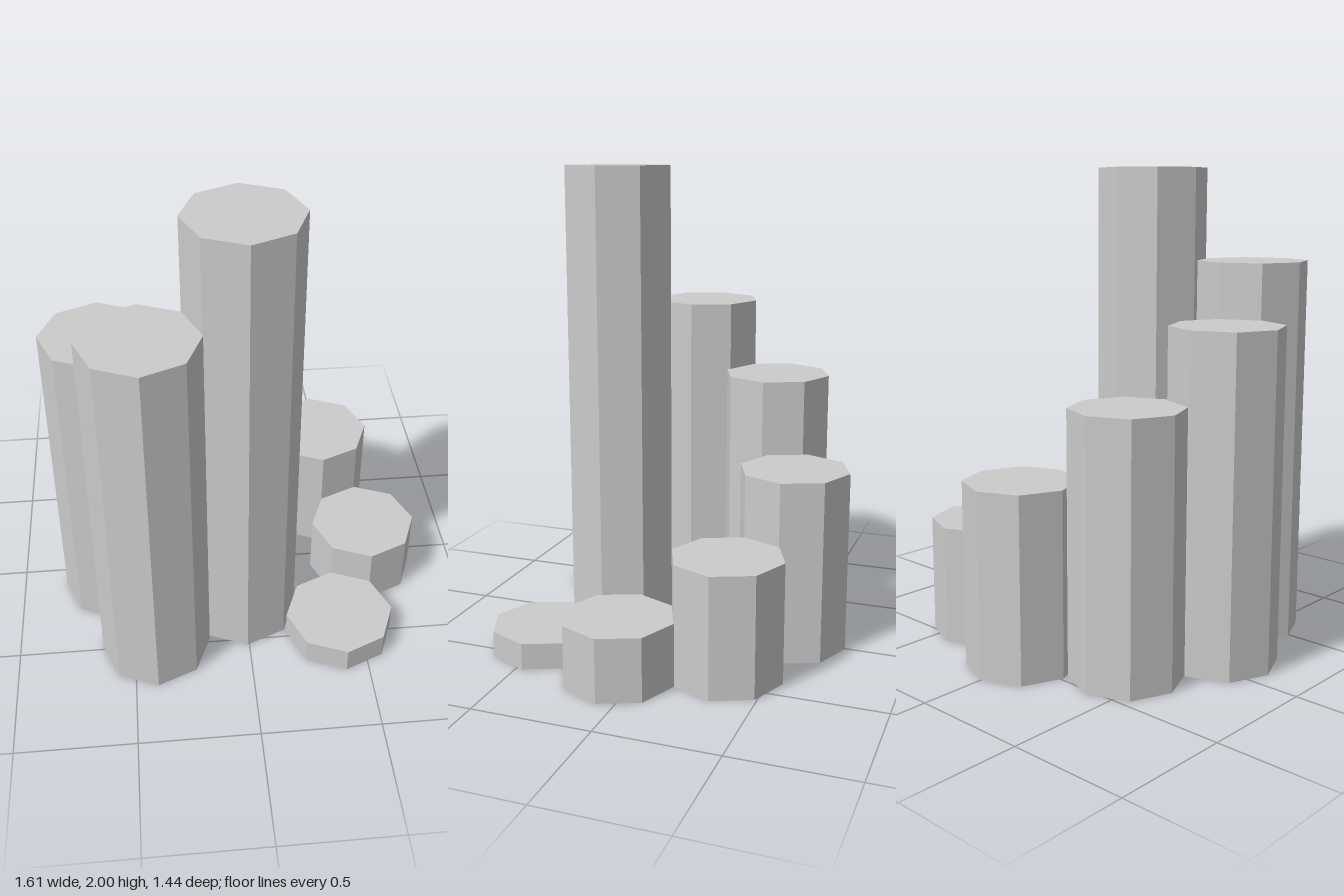
import * as THREE from 'three';

// Ring of octagonal columns climbing step by step: [x, z, height]
const COLUMNS = [
  [0.403, 0.473, 0.11],
  [0.57, 0.073, 0.265],
  [0.403, -0.325, 0.505],
  [0.003, -0.488, 0.77],
  [-0.396, -0.298, 1.09],
  [-0.573, 0.09, 1.385],
  [-0.406, 0.483, 1.615],
  [-0.008, 0.297, 2],
];
const RADIUS = 0.234;

export function createModel() {
  const model = new THREE.Group();
  model.name = 'steppedColumns';
  const material = new THREE.MeshStandardMaterial({ color: 0xcccccc, flatShading: true });

  COLUMNS.forEach(([x, z, height], i) => {
    // Solid eight-sided prism standing on the ground
    const column = new THREE.Mesh(new THREE.CylinderGeometry(RADIUS, RADIUS, height, 8), material);
    column.name = `column${i + 1}`;
    column.position.set(x, height / 2, z);
    model.add(column);
  });
  return model;
}
